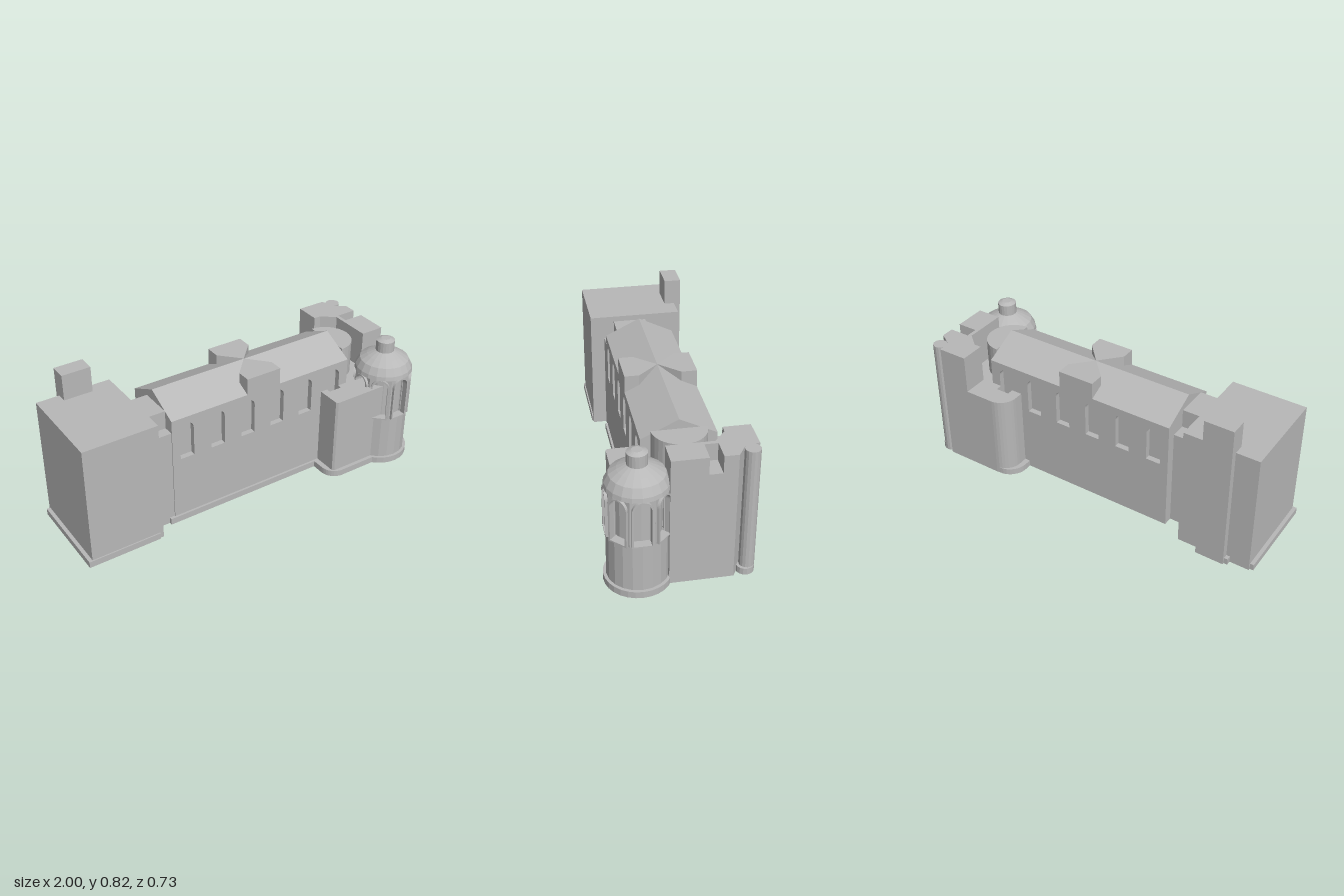
import * as THREE from 'three';

export function createModel() {
  const model = new THREE.Group();
  const stone = new THREE.MeshStandardMaterial({ color: 0xb8b8b8, flatShading: true });
  stone.name = 'grey stone';

  const add = (name, geo, parent = model) => {
    const mesh = new THREE.Mesh(geo, stone);
    mesh.name = name;
    parent.add(mesh);
    return mesh;
  };
  const box = (name, x0, x1, y0, y1, z0, z1) =>
    add(name, new THREE.BoxGeometry(x1 - x0, y1 - y0, z1 - z0)
      .translate((x0 + x1) / 2, (y0 + y1) / 2, (z0 + z1) / 2));
  const column = (name, x, z, r, y0, y1, sides = 20) =>
    add(name, new THREE.CylinderGeometry(r, r, y1 - y0, sides).translate(x, (y0 + y1) / 2, z));
  const plan = (pts) => new THREE.Shape(pts.map(([x, z]) => new THREE.Vector2(x, -z)));
  // Upright prism from a plan outline of [x, z] points
  const prism = (name, pts, y0, y1, holes = []) => {
    const shape = plan(pts);
    shape.holes.push(...holes.map(plan));
    const geo = new THREE.ExtrudeGeometry(shape, { depth: y1 - y0, bevelEnabled: false });
    return add(name, geo.rotateX(-Math.PI / 2).translate(0, y0, 0));
  };
  // Quarter arc of plan points
  const arc = (cx, cz, r, a0, a1, n = 8) => Array.from({ length: n + 1 }, (_, i) => {
    const a = a0 + (a1 - a0) * i / n;
    return [cx + r * Math.cos(a), cz + r * Math.sin(a)];
  });
  // Round-headed opening
  const arch = (Type, x, w, y0, y1) => {
    const p = new Type();
    p.moveTo(x - w / 2, y0);
    p.lineTo(x + w / 2, y0);
    p.lineTo(x + w / 2, y1 - w / 2);
    p.absarc(x, y1 - w / 2, w / 2, 0, Math.PI, false);
    p.closePath();
    return p;
  };
  const rect = (x0, x1, y0, y1) => new THREE.Shape([
    new THREE.Vector2(x0, y0), new THREE.Vector2(x1, y0),
    new THREE.Vector2(x1, y1), new THREE.Vector2(x0, y1)]);
  const slab = (shape, depth) => new THREE.ExtrudeGeometry(shape, { depth, bevelEnabled: false, curveSegments: 10 });
  const PI = Math.PI;

  // End block with chimney
  box('endBlock', -0.98, -0.58, 0, 0.68, -0.29, 0.21);
  box('endBlockPlinth', -1, -0.6, 0, 0.035, -0.28, 0.217);
  box('chimney', -0.855, -0.7, 0, 0.82, -0.325, -0.235);
  box('chimneyPlinth', -0.875, -0.7, 0, 0.035, -0.315, -0.235);

  // Stepped link between block and hall
  box('linkSides', -0.58, -0.47, 0, 0.55, -0.18, 0.135);
  box('linkCore', -0.58, -0.47, 0.55, 0.65, -0.1, 0.08);

  // Hall: core, pierced side walls and plinth
  box('hallCore', -0.47, 0.62, 0, 0.62, -0.2, 0.11);
  for (const [name, z] of [['hallFrontWall', 0.11], ['hallBackWall', -0.23]]) {
    const wall = rect(-0.47, 0.62, 0, 0.62);
    for (let i = 0; i < 6; i++) wall.holes.push(arch(THREE.Path, -0.385 + i * 0.1825, 0.08, 0.38, 0.585));
    add(name, slab(wall, 0.03).translate(0, 0, z));
  }
  box('hallPlinth', -0.5, 0.45, 0, 0.035, 0.1, 0.152);

  // Gabled roof with a flat-topped cross dormer on each slope
  const gable = new THREE.Shape([
    new THREE.Vector2(-0.14, 0.62), new THREE.Vector2(0.23, 0.62), new THREE.Vector2(0.045, 0.71)]);
  add('hallRoof', slab(gable, 1.09).rotateY(PI / 2).translate(-0.47, 0, 0));
  prism('frontDormer', [[-0.025, 0.14], [0.175, 0.14], [0.175, 0.065], [0.075, -0.045], [-0.025, 0.065]], 0.62, 0.711);
  prism('backDormer', [[-0.025, -0.23], [0.175, -0.23], [0.175, -0.15], [0.075, -0.045], [-0.025, -0.15]], 0.62, 0.711);

  // Low bastions around the hall end, with a pocket under each last window
  const base = [[0.45, 0], [0.45, 0.27], [0.46, 0.28], [0.8, 0.28], [0.8, 0.055], [0.92, 0.055],
    [0.92, -0.255], [0.85, -0.3], [0.84, -0.37],
    ...arc(0.52, -0.28, 0.09, -PI / 2, -PI), [0.43, 0]];
  const pocket = (z0, z1) => [[0.49, z0], [0.565, z0], [0.565, z1], [0.49, z1]];
  prism('bastionBase', base, 0, 0.38);
  // Upper layer surrounds the hall, leaving the windows clear
  prism('frontBastionTop', [[0.45, 0.14], [0.45, 0.27], [0.46, 0.28], [0.8, 0.28], [0.8, 0.14],
    [0.565, 0.14], [0.565, 0.165], [0.49, 0.165], [0.49, 0.14]], 0.38, 0.475);
  prism('backBastionTop', [[0.84, -0.37], ...arc(0.52, -0.28, 0.09, -PI / 2, -PI), [0.43, -0.23],
    [0.49, -0.23], ...[[0.49, -0.265], [0.565, -0.265]], [0.565, -0.23], [0.84, -0.23]], 0.38, 0.475);
  box('courtyardFloor', 0.62, 0.8, 0.38, 0.475, -0.23, 0.14);
  prism('bastionPlinth', [[0.42, 0.1], ...arc(0.5, 0.22, 0.08, PI, PI / 2), [0.8, 0.3], [0.8, -0.368],
    ...arc(0.5, -0.268, 0.1, -PI / 2, -PI), [0.4, 0.1]], 0, 0.035);

  // Round apse closing the hall
  prism('apse', [...arc(0.62, -0.045, 0.135, -PI / 2, PI / 2, 16)], 0.38, 0.66);

  // Tall corner tower with a notch in its parapet
  const towerBack = [[0.92, -0.255], [0.85, -0.3], [0.84, -0.37], [0.68, -0.37], [0.68, -0.235],
    [0.72, -0.235], [0.79, -0.175], [0.79, 0.055]];
  prism('cornerTower', [[0.92, 0.055], ...towerBack], 0.38, 0.595);
  prism('cornerTowerParapet', [[0.92, 0.055], [0.92, -0.12], [0.81, -0.12], [0.81, -0.185],
    [0.92, -0.185], ...towerBack], 0.595, 0.685);
  column('cornerShaft', 0.877, -0.328, 0.038, 0, 0.685, 16);
  column('cornerShaftPlinth', 0.88, -0.32, 0.045, 0, 0.035, 16);

  // Round domed turret
  const turret = new THREE.Group();
  turret.name = 'turret';
  turret.position.set(0.835, 0, 0.19);
  model.add(turret);
  const ring = (name, r, y0, y1, sides = 20) =>
    add(name, new THREE.CylinderGeometry(r, r, y1 - y0, sides).translate(0, (y0 + y1) / 2, 0), turret);
  ring('turretPlinth', 0.165, 0, 0.035, 28);
  ring('turretShaft', 0.15, 0, 0.288);
  ring('turretCore', 0.115, 0.288, 0.53);

  // Eight arched window bays with raised frames
  for (let i = 0; i < 8; i++) {
    const panel = rect(-0.0588, 0.0588, 0.285, 0.535);
    panel.holes.push(arch(THREE.Path, 0, 0.082, 0.292, 0.522));
    const frame = arch(THREE.Shape, 0, 0.1, 0.285, 0.53);
    frame.holes.push(arch(THREE.Path, 0, 0.082, 0.292, 0.522));
    add('turretBay', slab(panel, 0.03).translate(0, 0, 0.112).rotateY(i * PI / 4), turret);
    add('turretWindowFrame', slab(frame, 0.015).translate(0, 0, 0.141).rotateY(i * PI / 4), turret);
  }

  // Dome and lantern
  const dome = [[0, 0.525], [0.157, 0.53], [0.153, 0.552], [0.132, 0.593], [0.095, 0.617], [0.05, 0.64],
    [0.05, 0.7], [0.025, 0.711], [0, 0.711]];
  add('turretDome', new THREE.LatheGeometry(dome.map(([r, y]) => new THREE.Vector2(r, y)), 20), turret);

  return model;
}
